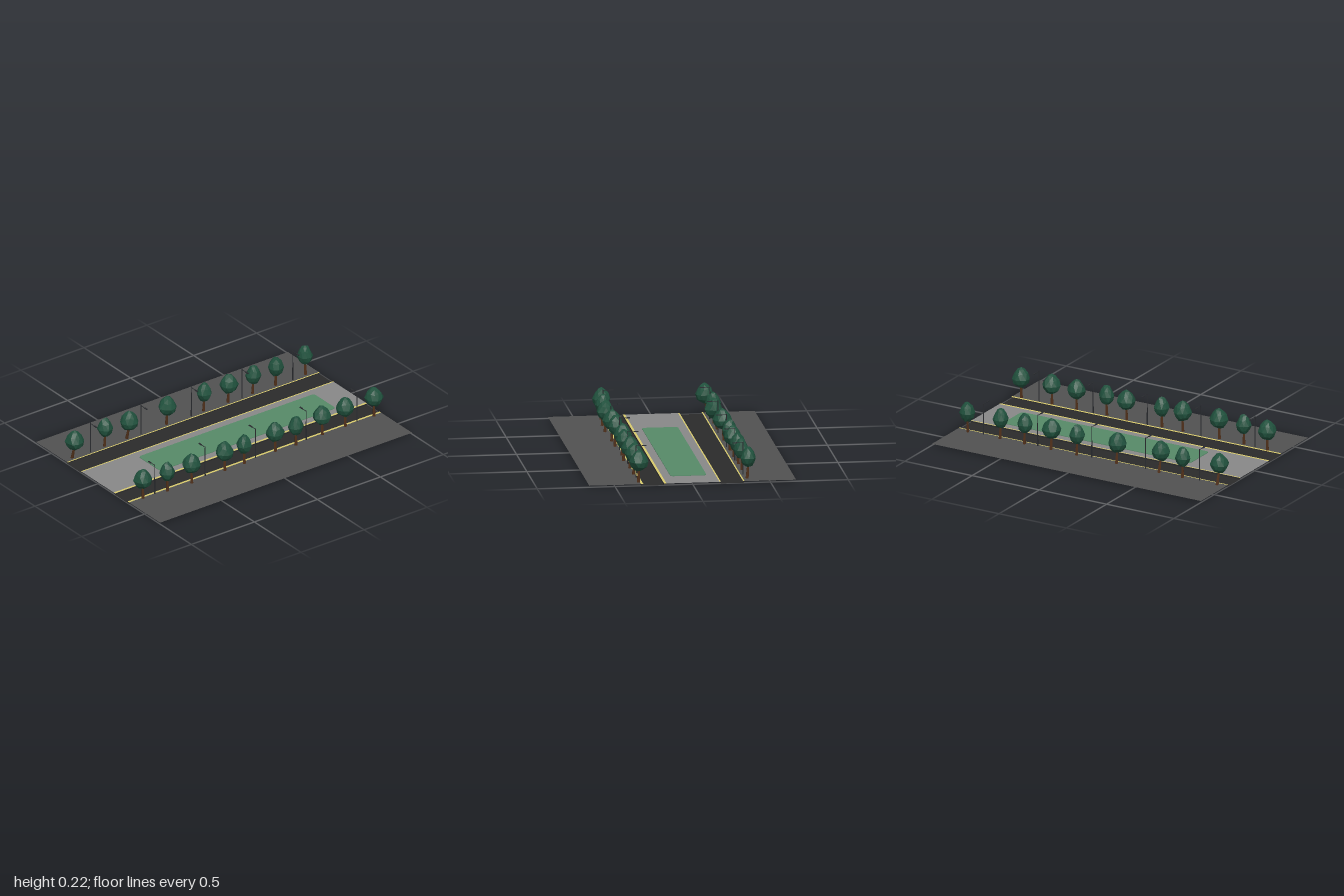
import * as THREE from 'three';

const mat = (name, color, side = THREE.FrontSide) =>
  Object.assign(new THREE.MeshStandardMaterial({ color, side }), { name });

export function createModel() {
  const D = THREE.DoubleSide;
  const M = {
    pavement: mat('pavement grey', 0x515151, D),
    asphalt: mat('asphalt', 0x2b2b2b, D),
    median: mat('median grey', 0x888888, D),
    yellow: mat('kerb yellow', 0xd8ca6c, D),
    grass: mat('grass green', 0x568a68),
    leaf: mat('leaf green', 0x20513d),
    bark: mat('bark brown', 0x50301a),
    lamp: mat('lamp dark', 0x2a2c30),
  };
  const model = new THREE.Group();
  const add = (parent, name, geo, material, x = 0, y = 0, z = 0) => {
    const mesh = new THREE.Mesh(geo, material);
    mesh.name = name;
    mesh.position.set(x, y, z);
    parent.add(mesh);
    return mesh;
  };

  // Flat strips running the full length
  const H = 0.01;
  const strip = (name, x0, x1, y, material) =>
    add(model, name, new THREE.PlaneGeometry(x1 - x0, 2).rotateX(-Math.PI / 2), material, (x0 + x1) / 2, y, 0);
  strip('leftPavement', 0.331, 0.665, H, M.pavement);
  strip('rightPavement', -0.665, -0.331, H, M.pavement);
  strip('leftRoad', 0.184, 0.331, 0, M.asphalt);
  strip('rightRoad', -0.331, -0.181, 0, M.asphalt);
  strip('median', -0.181, 0.184, H, M.median);

  // Low risers between roads and raised surfaces
  for (const x of [-0.331, -0.181, 0.184, 0.331])
    add(model, 'kerbRiser', new THREE.PlaneGeometry(2, H).rotateY(Math.PI / 2), M.asphalt, x, H / 2, 0);

  // Painted kerb lines
  strip('kerbLine', -0.333, -0.324, H + 0.0012, M.yellow);
  strip('kerbLine', -0.181, -0.172, H + 0.0012, M.yellow);
  strip('kerbLine', 0.169, 0.184, H + 0.0012, M.yellow);
  strip('kerbLine', 0.317, 0.333, H + 0.0012, M.yellow);

  // Rounded lawn set through the median
  const w = 0.116, z0 = -0.8, z1 = 0.592, r = 0.022;
  const lawn = new THREE.Shape();
  lawn.moveTo(-w + r, z0);
  lawn.lineTo(w - r, z0).quadraticCurveTo(w, z0, w, z0 + r);
  lawn.lineTo(w, z1 - r).quadraticCurveTo(w, z1, w - r, z1);
  lawn.lineTo(-w + r, z1).quadraticCurveTo(-w, z1, -w, z1 - r);
  lawn.lineTo(-w, z0 + r).quadraticCurveTo(-w, z0, -w + r, z0);
  const lawnGeo = new THREE.ExtrudeGeometry(lawn, { depth: 0.006, bevelEnabled: false, curveSegments: 5 });
  add(model, 'lawn', lawnGeo.rotateX(Math.PI / 2), M.grass, 0, 0.0135, 0);

  // Faceted crown: an icosphere drawn up to a point and roughened by a rule
  const crown = (radius, seed) => {
    const geo = new THREE.IcosahedronGeometry(1, 1).rotateZ(-Math.atan(2 / (1 + Math.sqrt(5))));
    const p = geo.attributes.position;
    for (let i = 0; i < p.count; i++) {
      const x = p.getX(i), y = p.getY(i), z = p.getZ(i);
      const bump = 1 + 0.09 * Math.sin(5 * x + seed) * Math.cos(4 * z - seed + 3 * y);
      const taper = y > 0 ? 1 - 0.3 * y : 1 + 0.12 * y;
      const k = radius * bump * taper;
      p.setXYZ(i, x * k, y * (y > 0 ? 0.074 : 0.064) * (0.5 + 0.5 * bump), z * k);
    }
    geo.computeVertexNormals();
    return geo;
  };
  const crowns = { S: crown(0.05, 1), L: crown(0.061, 2.6) };

  const trunkGeo = new THREE.CylinderGeometry(0.006, 0.011, 0.105, 6).toNonIndexed();
  trunkGeo.computeVertexNormals();

  // Trees: crown x, z, size
  const trees = [
    [-0.368, -0.915, 'S'], [-0.355, -0.675, 'S'], [-0.355, -0.495, 'S'],
    [-0.35, -0.298, 'L'], [-0.355, -0.106, 'S'], [-0.35, 0.19, 'L'],
    [-0.334, 0.505, 'L'], [-0.355, 0.68, 'S'], [-0.334, 0.938, 'L'],
    [0.338, -0.938, 'L'], [0.338, -0.71, 'L'], [0.338, -0.527, 'L'],
    [0.35, -0.31, 'S'], [0.338, -0.155, 'L'], [0.35, 0.1, 'S'],
    [0.35, 0.255, 'L'], [0.357, 0.523, 'L'], [0.35, 0.71, 'S'], [0.335, 0.893, 'L'],
  ];
  trees.forEach(([x, z, size], i) => {
    const tree = new THREE.Group();
    tree.name = 'tree';
    const baseX = x < 0 ? -0.361 : x + 0.004;
    const trunk = add(tree, 'trunk', trunkGeo, M.bark, (baseX + x) / 2, 0.057, z);
    trunk.rotation.z = Math.atan2(baseX - x, 0.105);
    add(tree, 'crown', crowns[size], M.leaf, x, 0.145, z).rotation.y = i * 1.9;
    model.add(tree);
  });

  // Street lamps with arms reaching over the roads
  const pole = new THREE.CylinderGeometry(0.0025, 0.004, 0.217, 8);
  const arm = new THREE.BoxGeometry(0.045, 0.003, 0.003);
  const head = new THREE.BoxGeometry(0.028, 0.005, 0.009);
  for (const s of [-1, 1]) {
    for (const z of [-0.805, -0.402, 0, 0.4, 0.8]) {
      const lamp = new THREE.Group();
      lamp.name = 'streetLamp';
      const x = s < 0 ? -0.35 : 0.338;
      add(lamp, 'pole', pole, M.lamp, x, 0.1145, z);
      add(lamp, 'arm', arm, M.lamp, x - s * 0.022, 0.218, z);
      add(lamp, 'lampHead', head, M.lamp, x - s * 0.053, 0.218, z);
      model.add(lamp);
    }
  }
  return model;
}
